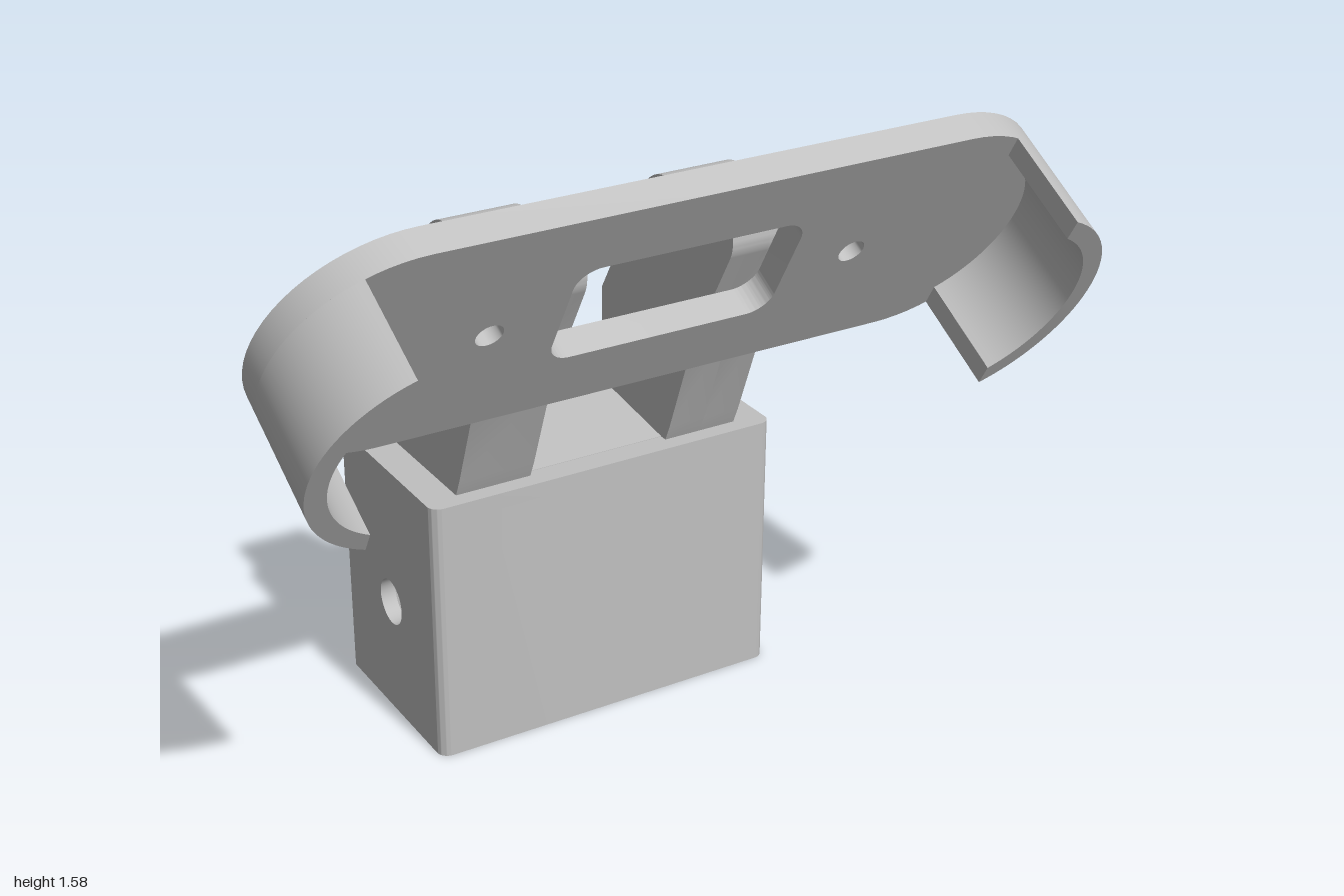
import * as THREE from 'three';
import { toCreasedNormals } from 'three/addons/utils/BufferGeometryUtils.js';

const grey = new THREE.MeshStandardMaterial({ color: 0xc0c0c0 });
grey.name = 'plain grey';

// Closed outline from [x, y, cornerRadius] points
function outline(pts) {
  const s = new THREE.Shape();
  pts.forEach(([x, y, r], i) => {
    if (!r) return i ? s.lineTo(x, y) : s.moveTo(x, y);
    const n = pts.length, p = new THREE.Vector2(x, y);
    const a = new THREE.Vector2(...pts[(i + n - 1) % n].slice(0, 2)).sub(p).normalize();
    const b = new THREE.Vector2(...pts[(i + 1) % n].slice(0, 2)).sub(p).normalize();
    const half = Math.acos(a.dot(b)) / 2, t = r / Math.tan(half);
    const from = p.clone().addScaledVector(a, t), to = p.clone().addScaledVector(b, t);
    const c = p.clone().addScaledVector(a.clone().add(b).normalize(), r / Math.sin(half));
    if (i) s.lineTo(from.x, from.y); else s.moveTo(from.x, from.y);
    s.absarc(c.x, c.y, r, from.sub(c).angle(), to.sub(c).angle(), a.cross(b) > 0);
  });
  s.closePath();
  return s;
}

function circleHole(x, y, r) {
  return new THREE.Path().absarc(x, y, r, 0, Math.PI * 2, true);
}

function extrude(shape, depth) {
  return new THREE.ExtrudeGeometry(shape, { depth, bevelEnabled: false, curveSegments: 16 });
}

function add(parent, name, geometry) {
  const mesh = new THREE.Mesh(toCreasedNormals(geometry, 0.5), grey);
  mesh.name = name;
  parent.add(mesh);
  return mesh;
}

// Plan outline in [x, z, r], raised from y0 to y1
function plan(pts, y0, y1) {
  return extrude(outline(pts.map(([x, z, r]) => [x, -z, r])), y1 - y0)
    .rotateX(-Math.PI / 2).translate(0, y0, 0);
}

// Side outline in [z, y, r], swept from x0 to x1
function side(pts, x0, x1, hole) {
  const s = outline(pts.map(([z, y, r]) => [-z, y, r]));
  if (hole) s.holes.push(circleHole(-hole[0], hole[1], hole[2]));
  return extrude(s, x1 - x0).rotateY(Math.PI / 2).translate(x0, 0, 0);
}

// Socket dimensions
const W = 0.475, FRONT = -0.075, BACK = -0.605, T = 0.04, H = 0.69, R = 0.03;
const SLOT0 = 0.125, SLOT1 = 0.29, SLOTZ = -0.43;

function makeSocket() {
  const g = new THREE.Group();
  g.name = 'socket';
  const h = H - T, inF = FRONT - T, inB = BACK + T;
  add(g, 'socketTop', plan([[-W, FRONT, R], [W, FRONT, R], [W, BACK, R], [SLOT1, BACK],
    [SLOT1, SLOTZ], [SLOT0, SLOTZ], [SLOT0, BACK], [-W, BACK, R]], h, H));
  add(g, 'frontWall', plan([[-W, FRONT, R], [W, FRONT, R], [W, inF], [-W, inF]], 0, h));
  for (const x of [-W, W - T])
    add(g, 'sideWall', side([[inF, 0], [inB, 0], [inB, h], [inF, h]], x, x + T, [-0.335, 0.315, 0.06]));
  // Back wall: narrow piece, slot, then the wide piece with a screw hole
  add(g, 'backWallNarrow', plan([[SLOT1, inB], [W, inB], [W, BACK, R], [SLOT1, BACK]], 0, h));
  add(g, 'backCorner', plan([[-W, inB], [-W + T, inB], [-W + T, BACK], [-W, BACK, R]], 0, h));
  const wide = outline([[-W + T, 0], [SLOT0, 0], [SLOT0, h], [-W + T, h]]);
  wide.holes.push(circleHole(-0.21, 0.315, 0.06));
  add(g, 'backWallWide', extrude(wide, T).translate(0, 0, BACK));

  // Sloping pad on the socket top, rising toward the back
  const pad = plan([[-0.389, -0.14], [0.389, -0.14], [0.389, -0.592, 0.04], [SLOT1, -0.592],
    [SLOT1, SLOTZ], [SLOT0, SLOTZ], [SLOT0, -0.592], [-0.389, -0.592, 0.04]], H, H + 0.06);
  const p = pad.attributes.position;
  for (let i = 0; i < p.count; i++)
    if (p.getY(i) > H + 0.03) p.setY(i, H + 0.001 + 0.062 * (-0.14 - p.getZ(i)) / 0.452);
  add(g, 'slopingPad', pad);
  return g;
}

function makeArms() {
  const g = new THREE.Group();
  g.name = 'arms';
  const front = [[-0.12, H], [-0.1, 0.735], [0.005, 1.009], [0.241, 1.418, 0.09], [-0.2, 1.37, 0.12]];
  const full = [...front, [-0.51, 0.857, 0.1], [-0.56, H]].reverse();
  const notched = [...front, [SLOTZ, 0.989], [SLOTZ, H]].reverse();
  add(g, 'rightArm', side(full, -0.39, -0.19));
  add(g, 'leftArmNotched', side(notched, 0.19, SLOT1));
  add(g, 'leftArmOuter', side(full, SLOT1, 0.39));
  return g;
}

function makeHolder() {
  const g = new THREE.Group();
  g.name = 'tiltedHolder';
  const r = 0.33, cx = 1 - r, depth = 0.333, thick = 0.075, cut = 0.815 - cx;
  // Stadium plate with a window and two screw holes
  const plate = new THREE.Shape();
  plate.absarc(cx, 0, r, -Math.PI / 2, Math.PI / 2, false);
  plate.absarc(-cx, 0, r, Math.PI / 2, Math.PI * 1.5, false);
  plate.closePath();
  const wx = 0.293, wy = 0.156, wr = 0.06;
  plate.holes.push(outline([[-wx, -wy, wr], [-wx, wy, wr], [wx, wy, wr], [wx, -wy, wr]]));
  for (const x of [-0.47, 0.47]) plate.holes.push(circleHole(x, 0, 0.034));
  add(g, 'backPlate', extrude(plate, thick));
  // Curved end grips
  const ri = r - 0.05, a = Math.acos(cut / r), b = Math.acos(cut / ri);
  const grip = new THREE.Shape();
  grip.absarc(cx, 0, r, -a, a, false);
  grip.absarc(cx, 0, ri, b, -b, true);
  grip.closePath();
  for (const turn of [0, Math.PI])
    add(g, 'endGrip', extrude(grip, depth - thick).translate(0, 0, thick).rotateZ(turn));
  g.rotation.x = Math.PI / 6;
  g.position.set(0, 1.295, 0.17);
  return g;
}

export function createModel() {
  const model = new THREE.Group();
  model.name = 'deviceMount';
  model.add(makeSocket(), makeArms(), makeHolder());
  return model;
}
